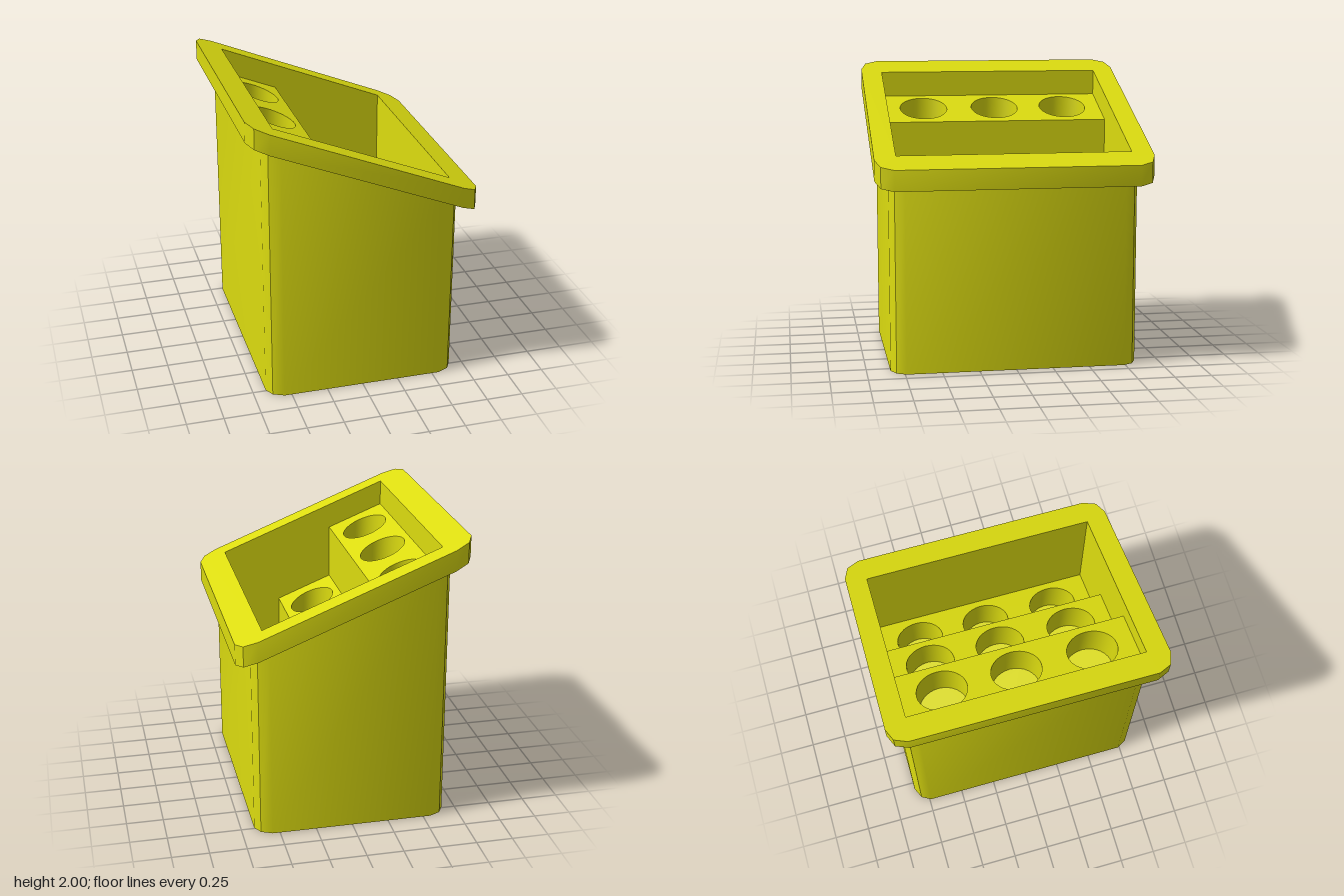
import * as THREE from 'three';
import { toCreasedNormals } from 'three/addons/utils/BufferGeometryUtils.js';

const material = new THREE.MeshStandardMaterial({ color: 0xdddd10 });
const SLOPE = 0.4;

// Height rule for a plane that falls towards +x and passes y at x = x0.
const slant = (y, x0 = 0) => (x) => y - SLOPE * (x - x0);
const flat = (y) => () => y;

// Vertical strip along [x, z] points; faces right of up when walking along them.
function wall(points, low, high, closed = true) {
  const pos = [];
  const n = points.length;
  for (let i = 0; i < (closed ? n : n - 1); i++) {
    const [x0, z0] = points[i];
    const [x1, z1] = points[(i + 1) % n];
    const a = [x0, low(x0), z0], b = [x1, low(x1), z1];
    const c = [x1, high(x1), z1], d = [x0, high(x0), z0];
    pos.push(...a, ...b, ...c, ...a, ...c, ...d);
  }
  const g = new THREE.BufferGeometry();
  g.setAttribute('position', new THREE.Float32BufferAttribute(pos, 3));
  return toCreasedNormals(g, THREE.MathUtils.degToRad(32));
}

// Flat or slanted panel inside an outline, with optional holes.
function panel(points, height, holes = [], faceDown = false) {
  const to2D = (list) => list.map(([x, z]) => new THREE.Vector2(x, -z));
  const shape = new THREE.Shape(to2D(points));
  shape.holes = holes.map((h) => new THREE.Path(to2D(h)));
  const g = new THREE.ShapeGeometry(shape).rotateX(-Math.PI / 2);
  const p = g.attributes.position;
  for (let i = 0; i < p.count; i++) p.setY(i, height(p.getX(i)));
  if (faceDown) g.index.array.reverse();
  g.computeVertexNormals();
  return g;
}

// Mirror one chamfered corner (front to right) into a full outline.
function outline(corner) {
  const back = [...corner].reverse();
  return [
    ...corner,
    ...back.map(([x, z]) => [x, -z]),
    ...corner.map(([x, z]) => [-x, -z]),
    ...back.map(([x, z]) => [-x, z]),
  ];
}

const rect = (x0, x1, z) => [[x0, z], [x1, z], [x1, -z], [x0, -z]];

function ellipse(cx, cz, rx, rz, n = 32) {
  return Array.from({ length: n }, (_, i) => {
    const t = (i / n) * Math.PI * 2;
    return [cx + rx * Math.cos(t), cz - rz * Math.sin(t)];
  });
}

export function createModel() {
  const model = new THREE.Group();
  const group = (name) => {
    const g = new THREE.Group();
    g.name = name;
    model.add(g);
    return g;
  };
  const add = (parent, name, geometry) => {
    const mesh = new THREE.Mesh(geometry, material);
    mesh.name = name;
    parent.add(mesh);
  };

  const rimTop = slant(1.69), rimUnder = slant(1.55);
  const rimLine = outline([[0.64, 0.935], [0.73, 0.9], [0.77, 0.815]]);
  const bodyLine = outline([[0.55, 0.84], [0.625, 0.805], [0.66, 0.74]]);
  const px = 0.59, pz = 0.79;

  // Outer body
  const body = group('body');
  add(body, 'bodyWall', wall(bodyLine, flat(0), rimUnder));
  add(body, 'bodyBottom', panel(bodyLine, flat(0), [], true));

  // Slanted overhanging rim
  const rim = group('rim');
  add(rim, 'rimEdge', wall(rimLine, rimUnder, rimTop));
  add(rim, 'rimTop', panel(rimLine, rimTop, [rect(-px, px, pz)]));
  add(rim, 'rimUnderside', panel(rimLine, rimUnder, [bodyLine], true));

  // Three descending steps, each slanted like the rim, with three wells
  const edges = [-px, -0.2, 0.19, px];
  const levels = [1.675, 1.138, 0.6];
  const wellX = [-0.4, -0.007, 0.387];
  const wellZ = [-0.515, -0.012, 0.505];
  const steps = levels.map((y, i) => slant(y, wellX[i]));

  steps.forEach((surface, i) => {
    const step = group('step' + (i + 1));
    const [x0, x1] = [edges[i], edges[i + 1]];
    const wells = wellZ.map((z) => ellipse(wellX[i], z, 0.152, 0.169));
    add(step, 'stepTop', panel(rect(x0, x1, pz), surface, wells));

    // Pocket side walls beside the step
    add(step, 'pocketFrontWall', wall([[x1, pz], [x0, pz]], surface, rimTop, false));
    add(step, 'pocketBackWall', wall([[x0, -pz], [x1, -pz]], surface, rimTop, false));

    // Riser down to the next step
    if (i < 2) {
      add(step, 'riser', wall([[x1, pz], [x1, -pz]], steps[i + 1], surface, false));
    }

    // Vertical wells with level floors
    const floor = flat(levels[i] - 0.4);
    for (const well of wells) {
      add(step, 'wellWall', wall([...well].reverse(), floor, surface));
      add(step, 'wellFloor', panel(well, floor));
    }
  });

  // Pocket end walls
  const pocket = group('pocketEnds');
  add(pocket, 'highEndWall', wall([[-px, pz], [-px, -pz]].map(([x, z]) => [x, z]), steps[0], rimTop, false));
  add(pocket, 'lowEndWall', wall([[px, -pz], [px, pz]], steps[2], rimTop, false));

  return model;
}
